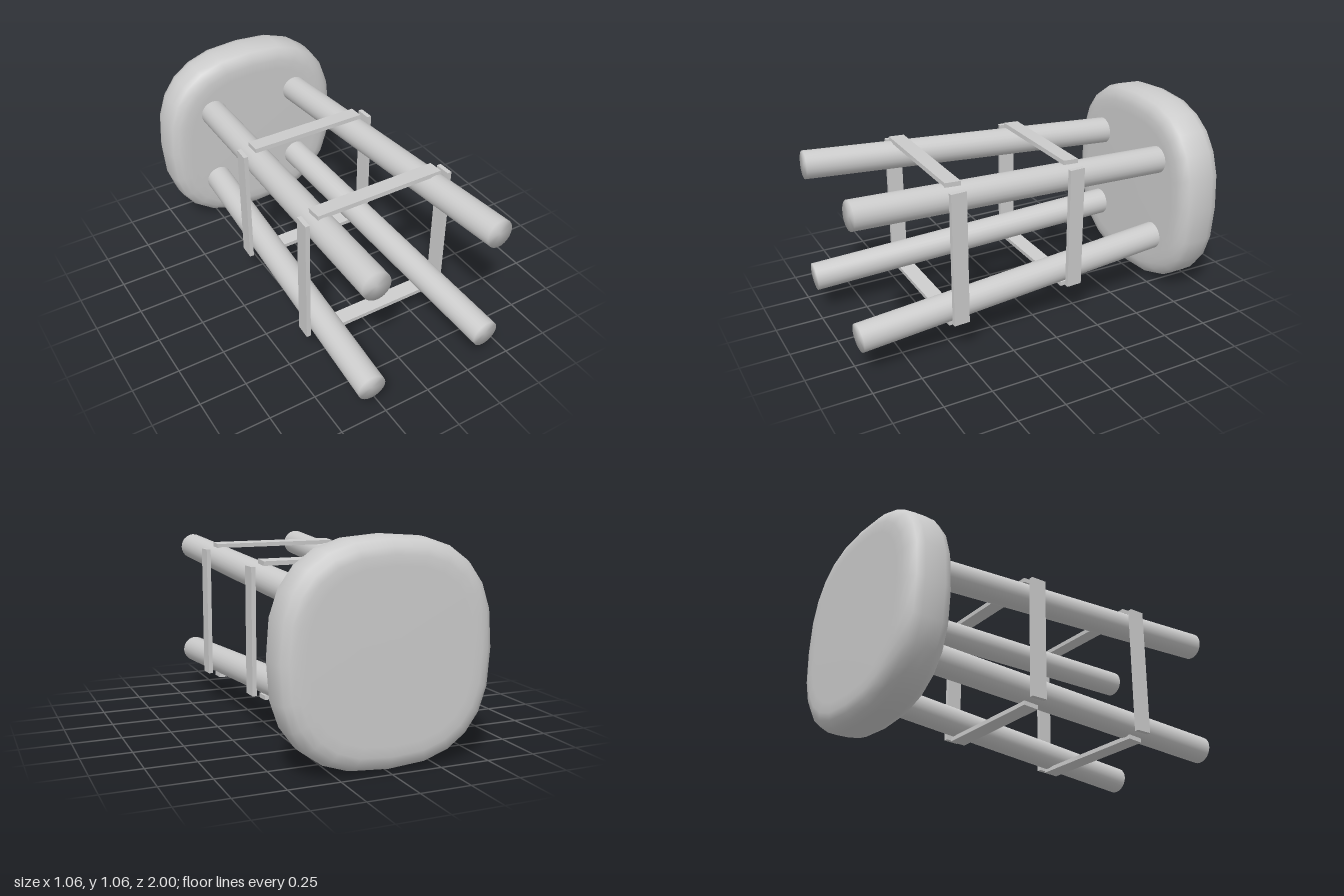
import * as THREE from 'three';
import { mergeVertices } from 'three/addons/utils/BufferGeometryUtils.js';

const CY = 0.535; // height of the stool's axis, as it lies on its side
const material = new THREE.MeshStandardMaterial({ color: 0xcccccc });

// Weld all corners so the shading runs smoothly over the edges
function weld(geometry) {
  geometry.deleteAttribute('uv');
  geometry.deleteAttribute('normal');
  const welded = mergeVertices(geometry, 1e-4);
  welded.computeVertexNormals();
  return welded;
}

function add(group, name, geometry) {
  const mesh = new THREE.Mesh(geometry, material);
  mesh.name = name;
  group.add(mesh);
  return mesh;
}

// Cushion-like seat: a lathe whose circles are pushed out to rounded squares
function seatGeometry() {
  const profile = [
    [0, 0.753], [0.40, 0.753], [0.45, 0.755], [0.485, 0.765], [0.515, 0.787], [0.528, 0.82],
    [0.53, 0.875], [0.528, 0.925], [0.515, 0.963], [0.485, 0.988], [0.45, 0.998], [0.40, 1], [0, 1],
  ].map(([r, y]) => new THREE.Vector2(r, y));
  const g = new THREE.LatheGeometry(profile, 24);
  const p = g.attributes.position;
  const soften = (v) => Math.sign(v) * Math.abs(v) ** 0.78;
  for (let i = 0; i < p.count; i++) {
    const x = p.getX(i), z = p.getZ(i), r = Math.hypot(x, z);
    if (r > 1e-6) p.setXYZ(i, r * soften(x / r), p.getY(i), r * soften(z / r));
  }
  g.rotateX(-Math.PI / 2);
  return weld(g);
}

export function createModel() {
  const group = new THREE.Group();
  group.name = 'stool';

  const seat = add(group, 'seat', seatGeometry());
  seat.position.y = CY;

  // Four splayed round legs
  const legShape = (length) => weld(new THREE.CylinderGeometry(0.073, 0.073, length, 24));
  for (const sx of [-1, 1]) {
    for (const sy of [-1, 1]) {
      const top = new THREE.Vector3(sx * 0.259, CY + sy * 0.225, -0.765);
      const foot = new THREE.Vector3(sx * 0.336, CY + sy * 0.32, 0.996);
      const axis = foot.clone().sub(top);
      const leg = add(group, 'leg', legShape(axis.length()));
      leg.position.copy(top).add(foot).multiplyScalar(0.5);
      leg.quaternion.setFromUnitVectors(new THREE.Vector3(0, 1, 0), axis.normalize());
    }
  }

  // Two tiers of flat rails, fixed on the outside of the legs and tilted with them
  const tiers = [
    { name: 'lowerRail', z: 0.49, x: 0.401, y: 0.371, halfX: 0.347, halfY: 0.352 },
    { name: 'upperRail', z: -0.173, x: 0.371, y: 0.343, halfX: 0.315, halfY: 0.327 },
  ];
  for (const t of tiers) {
    for (const s of [-1, 1]) {
      const across = add(group, t.name, new THREE.BoxGeometry(t.halfX * 2, 0.023, 0.083));
      across.position.set(0, CY + s * t.y, t.z);
      across.rotation.x = -s * 0.054;
      const side = add(group, t.name, new THREE.BoxGeometry(0.023, t.halfY * 2, 0.083));
      side.position.set(s * t.x, CY, t.z);
      side.rotation.y = s * 0.044;
    }
  }
  return group;
}
